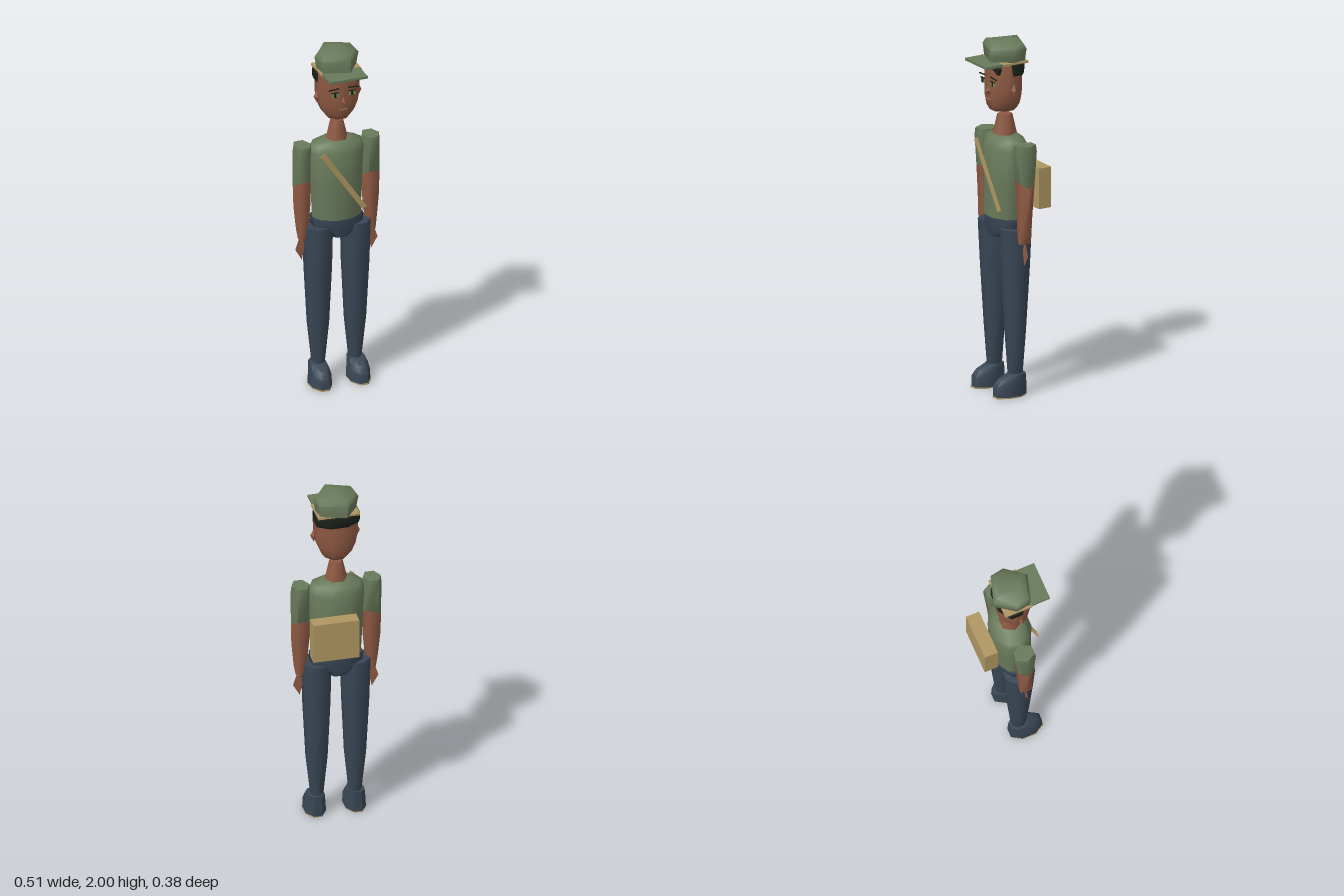
import * as THREE from 'three';
import { toCreasedNormals } from 'three/addons/utils/BufferGeometryUtils.js';

const material = (name, color, side = THREE.FrontSide) => {
  const m = new THREE.MeshStandardMaterial({ color, side });
  m.name = name;
  return m;
};

// Unit outline with n sides, stretched to touch -1..1 on both axes
function outline(n, turn = 0) {
  const pts = [];
  for (let i = 0; i < n; i++) {
    const a = (i / n) * Math.PI * 2 + turn;
    pts.push([Math.cos(a), Math.sin(a)]);
  }
  const mx = Math.max(...pts.map(p => Math.abs(p[0])));
  const mz = Math.max(...pts.map(p => Math.abs(p[1])));
  return pts.map(([x, z]) => [x / mx, z / mz]);
}

// Closed loft through rings [y, centreX, centreZ, halfX, halfZ, yOffsets], bottom to top
function loft(shape, rings, crease = 1.15) {
  const n = shape.length, pos = [];
  const loops = rings.map(([y, cx, cz, rx, rz, jag]) =>
    shape.map(([x, z], i) => [cx + x * rx, y + (jag ? jag[i % jag.length] : 0), cz + z * rz]));
  const tri = (a, b, c) => pos.push(...a, ...b, ...c);
  const centre = loop => [0, 1, 2].map(k => loop.reduce((s, p) => s + p[k], 0) / n);
  const low = loops[0], high = loops[loops.length - 1];
  for (let i = 0; i < n; i++) {
    const k = (i + 1) % n;
    for (let j = 0; j < loops.length - 1; j++) {
      const a = loops[j], b = loops[j + 1];
      tri(a[i], b[i], a[k]);
      tri(a[k], b[i], b[k]);
    }
    tri(centre(low), low[i], low[k]);
    tri(centre(high), high[k], high[i]);
  }
  const g = new THREE.BufferGeometry();
  g.setAttribute('position', new THREE.Float32BufferAttribute(pos, 3));
  return toCreasedNormals(g, crease);
}

export function createModel() {
  const root = new THREE.Group();
  root.name = 'figure';
  const green = material('green cloth', 0x68795a);
  const tan = material('tan canvas', 0xae9661);
  const skin = material('skin', 0x8f5a43, THREE.DoubleSide);
  const navy = material('navy cloth', 0x394655);
  const dark = material('dark hair', 0x1e231b);
  const iris = material('eye green', 0x7f9558);
  const lip = material('lip', 0xa06a48);

  const add = (name, geometry, mat, x = 0, y = 0, z = 0) => {
    const m = new THREE.Mesh(geometry, mat);
    m.name = name;
    m.position.set(x, y, z);
    root.add(m);
    return m;
  };
  const box = (name, w, h, d, mat, x, y, z) => add(name, new THREE.BoxGeometry(w, h, d), mat, x, y, z);
  const gem = (name, w, h, d, mat, x, y, z) =>
    add(name, new THREE.OctahedronGeometry(1).scale(w, h, d), mat, x, y, z);

  const hex = outline(6), oct = outline(8, Math.PI / 8), deca = outline(10);

  // Body
  add('torso', loft(deca, [
    [1.0, 0, 0, 0.142, 0.102],
    [1.2, 0, -0.003, 0.152, 0.105],
    [1.39, 0, -0.006, 0.162, 0.108],
    [1.435, 0, -0.005, 0.145, 0.085],
    [1.46, 0, 0, 0.07, 0.06],
  ]), green);
  add('neck', loft(hex, [[1.45, 0, 0, 0.065, 0.06], [1.57, 0, 0, 0.037, 0.037]]), skin);
  add('hips', loft(oct, [
    [0.89, 0, -0.003, 0.07, 0.09],
    [0.95, 0, -0.003, 0.14, 0.097],
    [1.0, 0, -0.003, 0.142, 0.097],
  ]), navy);

  // Head and face
  add('head', loft(oct, [
    [1.6, 0, 0.01, 0.063, 0.07],
    [1.63, 0, 0.01, 0.085, 0.085],
    [1.68, 0, 0.01, 0.105, 0.091],
    [1.74, 0, 0.01, 0.116, 0.091],
    [1.87, 0, 0.01, 0.118, 0.088],
  ]), skin);
  add('hair', loft(oct, [
    [1.81, 0, -0.012, 0.117, 0.072],
    [1.83, 0, -0.014, 0.123, 0.08],
    [1.875, 0, -0.012, 0.124, 0.085],
  ]), dark);
  box('fringe', 0.07, 0.04, 0.02, dark, 0.065, 1.855, 0.093).rotation.z = -0.45;
  gem('nose', 0.014, 0.03, 0.03, skin, 0.002, 1.715, 0.1);
  box('mouth', 0.045, 0.006, 0.006, lip, 0, 1.668, 0.106);
  for (const s of [1, -1]) {
    const side = s > 0 ? 'left' : 'right';
    gem(side + 'Ear', 0.02, 0.04, 0.017, skin, s * 0.12, 1.73, 0.015);
    box(side + 'Eye', 0.036, 0.026, 0.004, iris, s * 0.05, 1.763, 0.108);
    box(side + 'Pupil', 0.014, 0.026, 0.004, dark, s * 0.05, 1.763, 0.111);
    box(side + 'EyeLid', 0.04, 0.005, 0.006, dark, s * 0.05, 1.777, 0.11);
    box(side + 'Eyebrow', 0.06, 0.006, 0.006, dark, s * 0.057, 1.797, 0.108).rotation.z = -s * 0.06;
  }

  // Cap: skewed six-sided crown with a ridge from front to back
  const crown = [[0.125, 0.01], [0.04, 0.118], [-0.112, 0.072], [-0.125, -0.01], [-0.04, -0.118], [0.112, -0.07]];
  add('capCrown', loft(crown, [
    [1.885, 0, 0, 0.9, 0.96],
    [1.91, 0, 0, 0.93, 0.98],
    [1.955, 0, 0, 1, 1],
    [1.972, 0, 0, 0.88, 0.84, [0, 0.018, 0.01]],
    [1.994, 0, 0, 0.3, 0.5, [0, 0.003, 0]],
    [2.0, 0, 0, 0.06, 0.06],
  ]), green);
  box('capPeak', 0.22, 0.014, 0.125, green, 0, 1.879, 0.124);
  box('capBand', 0.234, 0.012, 0.16, tan, 0, 1.88, 0);

  // Bag and strap
  box('backpack', 0.258, 0.23, 0.078, tan, 0.044, 1.165, -0.15);
  box('chestStrap', 0.03, 0.43, 0.006, tan, 0, 1.235, 0.11).rotation.z = 0.6;

  // Limbs
  const hem = [1.23, 0.2, -0.005, 0.053, 0.046, [-0.03, 0, 0]];
  const hemRight = [1.23, -0.2, -0.005, 0.053, 0.046, [0, 0, 0, -0.03, 0, 0.02]];
  for (const s of [1, -1]) {
    const side = s > 0 ? 'left' : 'right';
    const cuff = s > 0 ? hem : hemRight;
    add(side + 'Forearm', loft(hex, [
      [0.88, s * 0.205, 0, 0.02, 0.033],
      [0.94, s * 0.2, 0, 0.036, 0.034],
      [1.08, s * 0.2, -0.003, 0.05, 0.037],
      cuff,
    ]), skin);
    add(side + 'Sleeve', loft(hex, [
      cuff,
      [1.4, s * 0.2, -0.006, 0.055, 0.058],
      [1.44, s * 0.2, -0.006, 0.05, 0.054],
    ]), green);

    // Flat hand
    const hand = [[0.195, 0.89], [0.215, 0.89], [0.24, 0.815], [0.202, 0.75], [0.187, 0.82]];
    add(side + 'Hand', new THREE.ShapeGeometry(
      new THREE.Shape(hand.map(([x, y]) => new THREE.Vector2(s * x, y)))), skin);

    add(side + 'Leg', loft(oct, [
      [0.12, s * 0.107, 0, 0.033, 0.04],
      [0.36, s * 0.108, 0, 0.057, 0.054],
      [0.7, s * 0.109, 0, 0.072, 0.073],
      [0.95, s * 0.11, 0, 0.077, 0.085],
    ]), navy);
    add(side + 'Shoe', loft(oct, [
      [0.006, s * 0.112, 0.037, 0.057, 0.093],
      [0.065, s * 0.112, 0.037, 0.054, 0.092],
      [0.1, s * 0.112, 0.023, 0.049, 0.077],
      [0.125, s * 0.112, -0.005, 0.044, 0.047],
    ], 0.9), navy);
    // Thin sole
    add(side + 'Sole', loft(oct, [
      [0, s * 0.114, 0.04, 0.057, 0.095],
      [0.006, s * 0.114, 0.04, 0.057, 0.095],
    ]), tan);
  }
  return root;
}
